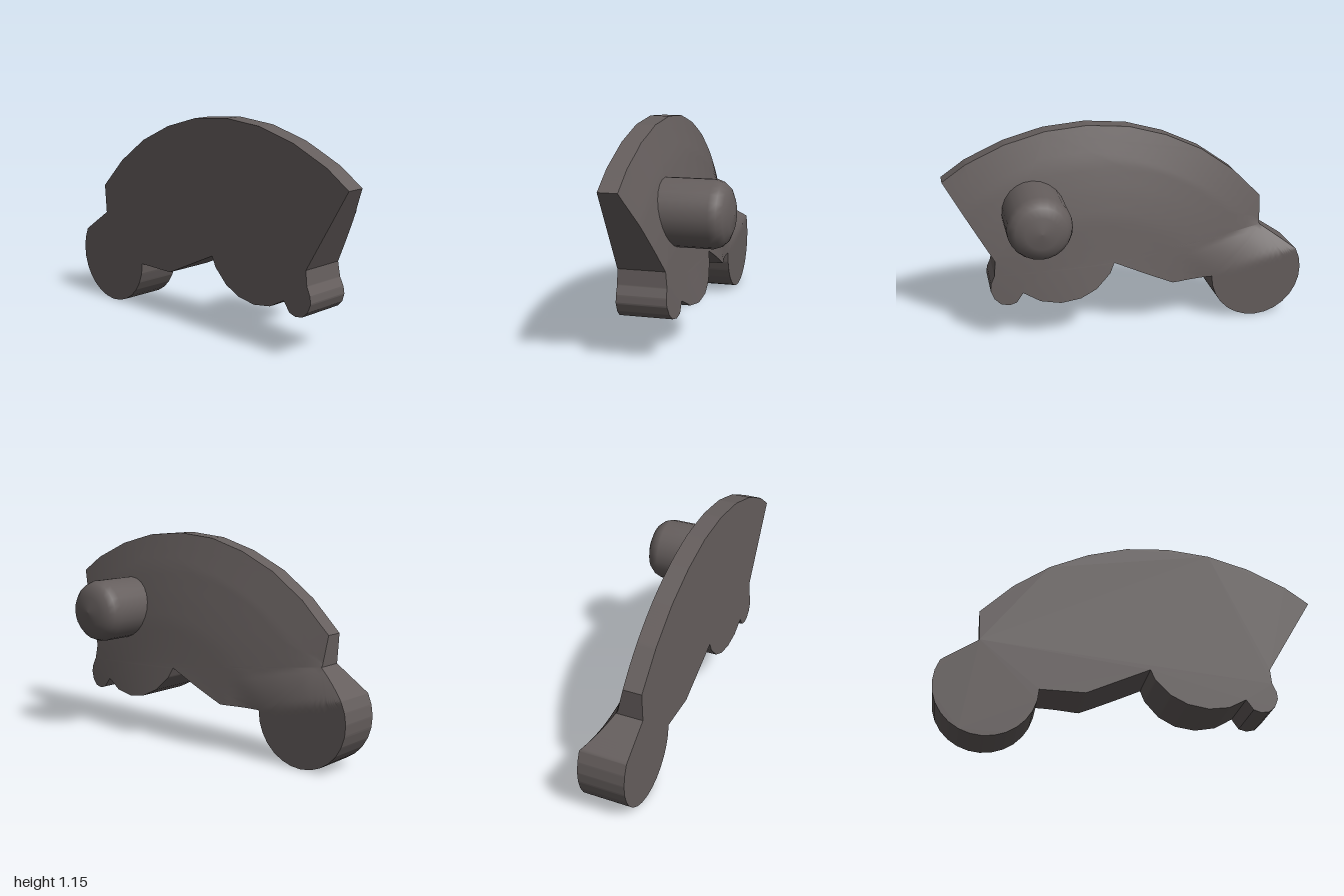
import * as THREE from 'three';
import { mergeVertices, toCreasedNormals } from 'three/addons/utils/BufferGeometryUtils.js';

const FRONT = 0.265;
const LEVELS = 4;
const { clamp, lerp, degToRad } = THREE.MathUtils;

// Plate outline, counter-clockwise seen from the front
function makeOutline() {
  const pts = [];
  // round end lobe
  for (let i = 0; i <= 16; i++) {
    const a = degToRad(lerp(152, 360, i / 16));
    pts.push([-0.734 + 0.266 * Math.cos(a), 0.267 + 0.266 * Math.sin(a)]);
  }
  // lower edge, scallop and small knob
  pts.push([-0.23, 0.265], [0.105, 0.42], [0.13, 0.365], [0.21, 0.285], [0.3, 0.24], [0.41, 0.222],
    [0.52, 0.238], [0.612, 0.288], [0.65, 0.235], [0.69, 0.222], [0.735, 0.23], [0.767, 0.26],
    [0.785, 0.305], [0.781, 0.345], [0.76, 0.39], [0.752, 0.47]);
  // large outer arc
  pts.push([1, 0.89], [0.87, 0.98], [0.66, 1.075], [0.44, 1.135], [0.21, 1.155], [-0.02, 1.135],
    [-0.23, 1.075], [-0.435, 0.98], [-0.625, 0.845], [-0.79, 0.68], [-0.78, 0.52]);
  return pts.map(([x, y]) => new THREE.Vector2(x, y));
}

// Back surface: a shallow dome around the arc centre, easing to a flat on the round lobe
const DOME = [[0.3, -0.07], [0.41, -0.05], [0.6, -0.015], [0.81, 0.02], [0.95, 0.054], [1.1, 0.095], [1.29, 0.165]];
function backZ(x, y) {
  const r = Math.hypot(x - 0.21, y + 0.135);
  let i = 0;
  while (i < DOME.length - 2 && r > DOME[i + 1][0]) i++;
  const [r0, z0] = DOME[i], [r1, z1] = DOME[i + 1];
  const dome = Math.min(0.165, lerp(z0, z1, (r - r0) / (r1 - r0)));
  const above = (0.49 * (y - 0.39) + 0.12 * (x + 0.96)) / 0.505;
  const t = clamp(Math.max(above / 0.18, (x + 0.47) / 0.2), 0, 1);
  return lerp(0.012, dome, t);
}

function geometryFrom(positions) {
  const g = new THREE.BufferGeometry();
  g.setAttribute('position', new THREE.Float32BufferAttribute(positions, 3));
  return g;
}

// Domed back, made by evenly subdividing the flat outline
function makeBack(outline) {
  const positions = [];
  const mid = (a, b) => a.clone().add(b).multiplyScalar(0.5);
  const split = (a, b, c, level) => {
    if (level === 0) {
      for (const p of [a, c, b]) positions.push(p.x, p.y, backZ(p.x, p.y));
      return;
    }
    const ab = mid(a, b), bc = mid(b, c), ca = mid(c, a);
    split(a, ab, ca, level - 1);
    split(ab, b, bc, level - 1);
    split(ca, bc, c, level - 1);
    split(ab, bc, ca, level - 1);
  };
  for (const face of THREE.ShapeUtils.triangulateShape(outline, [])) {
    const [a, b, c] = face.map((i) => outline[i]);
    if (THREE.ShapeUtils.area([a, b, c]) > 0) split(a, b, c, LEVELS);
    else split(a, c, b, LEVELS);
  }
  const g = mergeVertices(geometryFrom(positions), 1e-5);
  g.computeVertexNormals();
  return g;
}

// Side wall joining the flat front to the domed back
function makeWall(outline) {
  const positions = [];
  const n = 2 ** LEVELS;
  outline.forEach((p, i) => {
    const q = outline[(i + 1) % outline.length];
    for (let k = 0; k < n; k++) {
      const a = p.clone().lerp(q, k / n), b = p.clone().lerp(q, (k + 1) / n);
      const az = backZ(a.x, a.y), bz = backZ(b.x, b.y);
      positions.push(a.x, a.y, FRONT, a.x, a.y, az, b.x, b.y, FRONT);
      positions.push(a.x, a.y, az, b.x, b.y, bz, b.x, b.y, FRONT);
    }
  });
  return toCreasedNormals(geometryFrom(positions), 0.6);
}

export function createModel() {
  const model = new THREE.Group();
  model.name = 'peggedPlate';
  const material = new THREE.MeshStandardMaterial({ color: 0x655e5d });
  material.name = 'dark warm grey';
  const add = (name, geometry) => {
    const mesh = new THREE.Mesh(geometry, material);
    mesh.name = name;
    model.add(mesh);
    return mesh;
  };

  const outline = makeOutline();
  add('plateFront', new THREE.ShapeGeometry(new THREE.Shape(outline))).position.z = FRONT;
  add('plateBack', makeBack(outline));
  add('plateWall', makeWall(outline));

  // Round-ended peg standing out of the back
  const profile = [[0.173, -0.12], [0.173, 0.17], [0.16, 0.207], [0.135, 0.235], [0.086, 0.256], [0, 0.266]];
  const peg = add('peg', new THREE.LatheGeometry(profile.map(([r, h]) => new THREE.Vector2(r, h)), 24));
  peg.rotation.x = -Math.PI / 2;
  peg.position.set(0.527, 0.717, 0);

  return model;
}
